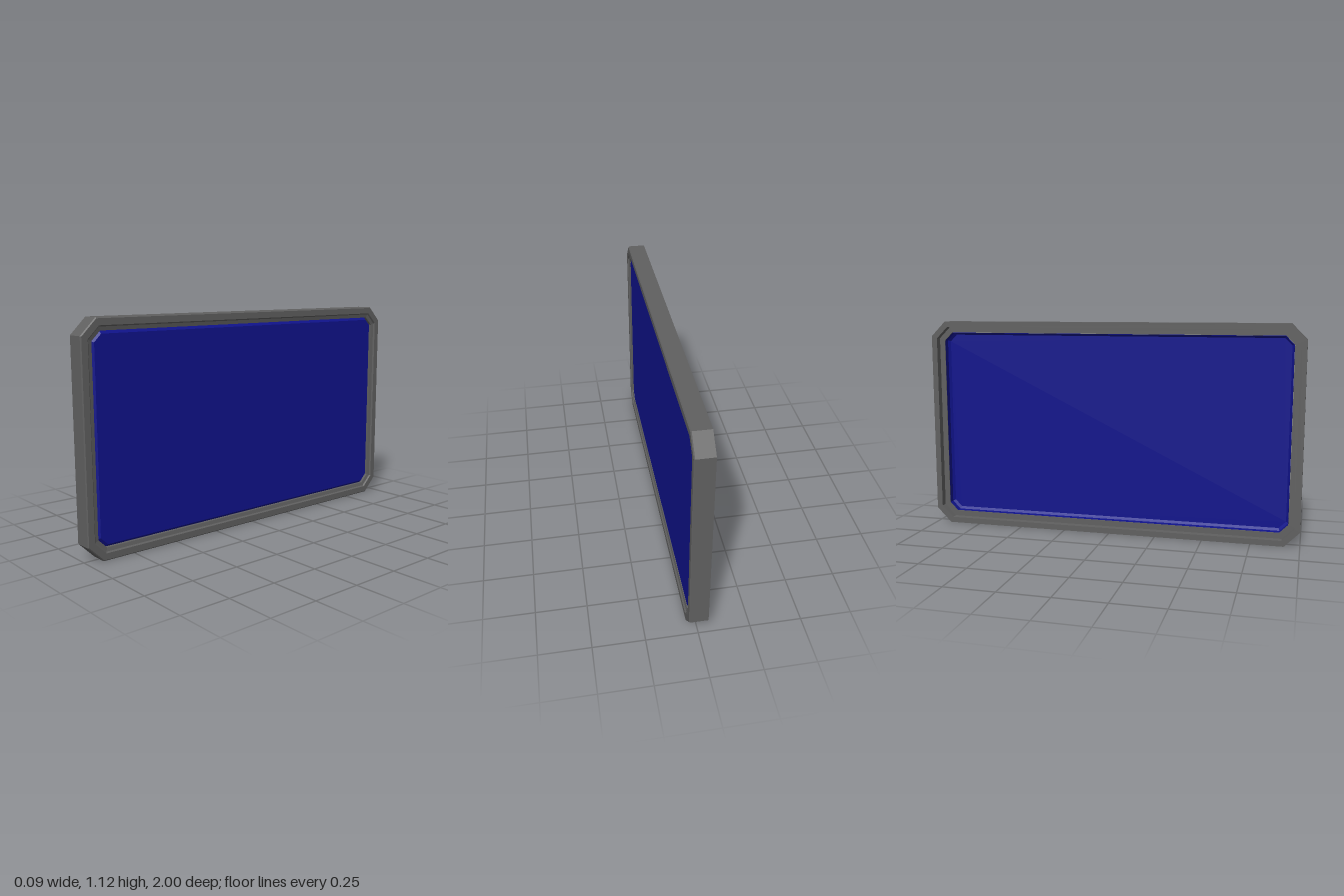
import * as THREE from 'three';

const HALF_W = 1, HALF_H = 0.5625, CHAMFER = 0.08;

// Chamfered rectangle, counter-clockwise seen from +x; u runs along -z
function outline(inset) {
  const w = HALF_W - inset, h = HALF_H - inset, c = CHAMFER - inset * 0.586;
  return [[w - c, -h], [w, -h + c], [w, h - c], [w - c, h],
    [-w + c, h], [-w, h - c], [-w, -h + c], [-w + c, -h]];
}

// Sweep a profile of [inset, x] pairs round the outline
function sweep(profile, closed) {
  const rings = profile.map(([inset, x]) =>
    outline(inset).map(([u, v]) => [x, v + HALF_H, -u]));
  const pos = [];
  const last = closed ? rings.length : rings.length - 1;
  for (let k = 0; k < last; k++) {
    const r = rings[k], s = rings[(k + 1) % rings.length];
    for (let j = 0; j < 8; j++) {
      const n = (j + 1) % 8;
      pos.push(...r[j], ...r[n], ...s[n], ...r[j], ...s[n], ...s[j]);
    }
  }
  const geo = new THREE.BufferGeometry();
  geo.setAttribute('position', new THREE.Float32BufferAttribute(pos, 3));
  geo.computeVertexNormals();
  return geo;
}

function part(name, geometry, material) {
  const mesh = new THREE.Mesh(geometry, material);
  mesh.name = name;
  return mesh;
}

export function createModel() {
  const model = new THREE.Group();
  model.name = 'framedScreen';
  const grey = new THREE.MeshStandardMaterial({ color: 0x606060 });
  const blue = new THREE.MeshStandardMaterial({ color: 0x10138c, side: THREE.DoubleSide });

  // Frame: bevelled front lip, stepped rebate at the back
  model.add(part('frame', sweep([
    [0, -0.047], [0, 0.04], [0.005, 0.045], [0.036, 0.045], [0.042, 0.038],
    [0.06, 0.034], [0.06, -0.01], [0.03, -0.01], [0.03, -0.047],
  ], true), grey));

  // Screen: thin shell, open at the back, with a bevelled edge
  const screen = new THREE.Group();
  screen.name = 'screen';
  screen.add(part('screenEdge', sweep([[0.062, -0.01], [0.062, 0.022], [0.074, 0.033]], false), blue));
  const shape = new THREE.Shape(outline(0.074).map(([u, v]) => new THREE.Vector2(u, v + HALF_H)));
  const face = new THREE.ShapeGeometry(shape).rotateY(Math.PI / 2).translate(0.033, 0, 0);
  screen.add(part('screenFace', face, blue));
  model.add(screen);

  return model;
}
